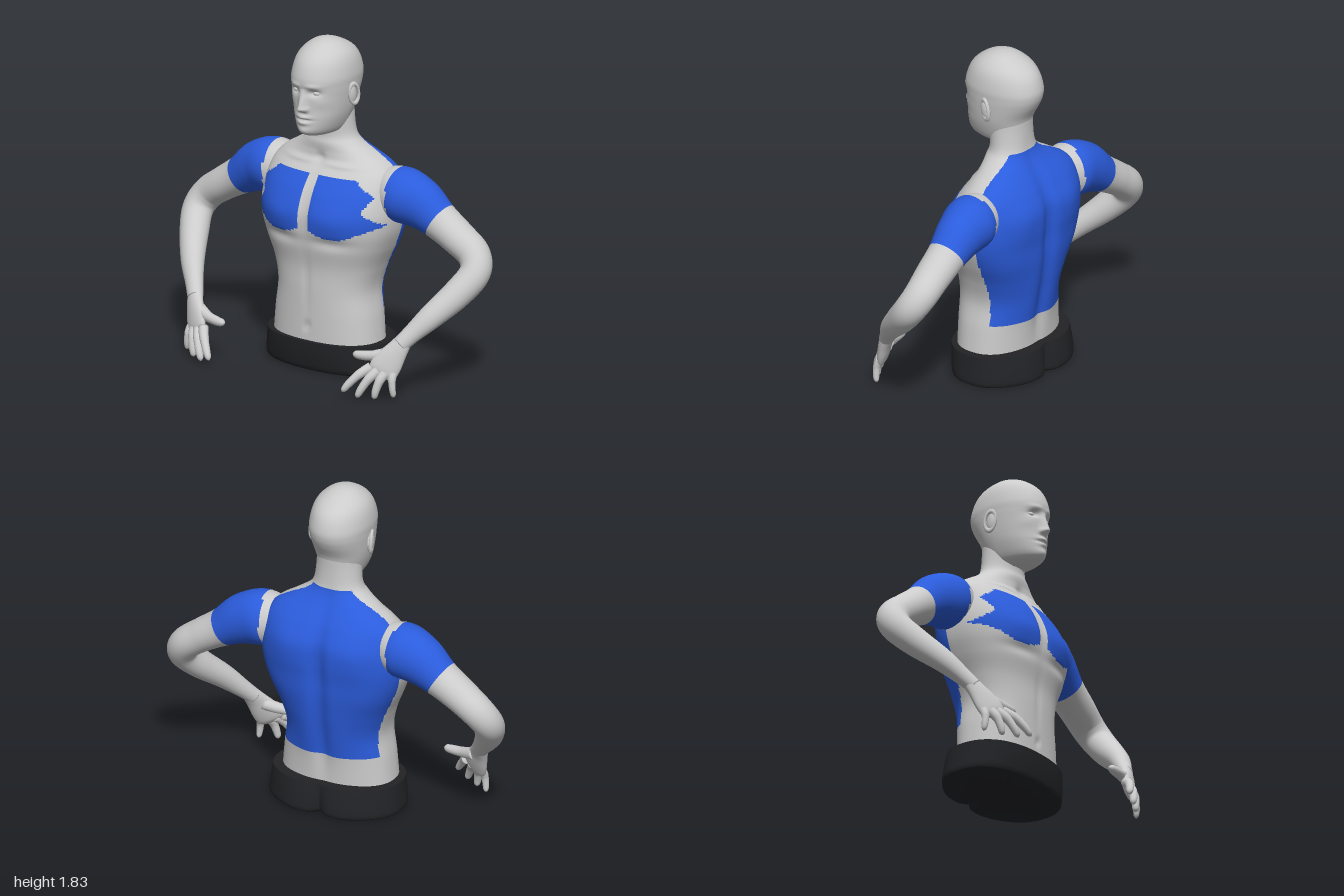
import * as THREE from 'three';
import { toCreasedNormals } from 'three/addons/utils/BufferGeometryUtils.js';

const skinMat = new THREE.MeshStandardMaterial({ color: 0xcccccc });
const blueMat = new THREE.MeshStandardMaterial({ color: 0x2b5cdc });
const blackMat = new THREE.MeshStandardMaterial({ color: 0x222326 });

// Smooth interpolation through rows of numbers, k steps per span.
function spline(rows, k) {
  const out = [], at = i => rows[Math.min(rows.length - 1, Math.max(0, i))];
  for (let i = 0; i < rows.length - 1; i++) {
    for (let s = 0; s < k; s++) {
      const t = s / k;
      out.push(rows[i].map((b, c) => {
        const a = at(i - 1)[c], d = at(i + 1)[c], e = at(i + 2)[c];
        return b + 0.5 * t * (d - a + t * (2 * a - 5 * b + 4 * d - e + t * (3 * (b - d) + e - a)));
      }));
    }
  }
  out.push(rows[rows.length - 1].slice());
  return out;
}

// Closed skin over rings; faces for which isBlue(centre, ring) holds become a second mesh.
function skin(name, rings, { isBlue = () => false, mat = skinMat, crease = 0 } = {}) {
  const n = rings[0].length, pos = [], grey = [], blue = [];
  rings.flat().forEach(p => pos.push(p.x, p.y, p.z));
  const c = new THREE.Vector3();
  for (let i = 0; i < rings.length - 1; i++) {
    for (let j = 0; j < n; j++) {
      const q = (j + 1) % n, a = i * n + j, b = i * n + q;
      c.copy(rings[i][j]).add(rings[i][q]).add(rings[i + 1][j]).add(rings[i + 1][q]).multiplyScalar(0.25);
      (isBlue(c, i) ? blue : grey).push(a, b, b + n, a, b + n, a + n);
    }
  }
  [0, rings.length - 1].forEach((r, end) => {
    const mid = new THREE.Vector3(), id = pos.length / 3;
    rings[r].forEach(p => mid.addScaledVector(p, 1 / n));
    pos.push(mid.x, mid.y, mid.z);
    for (let j = 0; j < n; j++) {
      const a = r * n + j, b = r * n + (j + 1) % n;
      grey.push(id, end ? a : b, end ? b : a);
    }
  });
  let g = new THREE.BufferGeometry();
  g.setAttribute('position', new THREE.Float32BufferAttribute(pos, 3));
  g.setIndex(grey.concat(blue));
  g.computeVertexNormals();
  const group = new THREE.Group();
  group.name = name;
  if (blue.length) {
    const patch = new THREE.BufferGeometry();
    patch.setAttribute('position', g.getAttribute('position'));
    patch.setAttribute('normal', g.getAttribute('normal'));
    patch.setIndex(blue);
    g.setIndex(grey);
    const m = new THREE.Mesh(patch, blueMat);
    m.name = name + 'BluePatch';
    group.add(m);
  }
  if (crease) g = toCreasedNormals(g, crease);
  const m = new THREE.Mesh(g, mat);
  m.name = name + 'Surface';
  group.add(m);
  return group;
}

// Bumps [x, y, spreadX, spreadY, height], mirrored in x.
const bumps = (list, x, y) => list.reduce((s, [bx, by, sx, sy, h]) =>
  s + h * Math.exp(-(((Math.abs(x) - bx) / sx) ** 2) - ((y - by) / sy) ** 2), 0);

// Horizontal body rings from rows [y, halfWidth, zFront, zBack, zMid, power].
function bodyRings(rows, k, n, front = () => 0, back = () => 0) {
  return spline(rows, k).map(([y, w, zf, zb, zm, e]) => Array.from({ length: n }, (_, j) => {
    const a = (j / n) * Math.PI * 2, c = Math.cos(a), s = -Math.sin(a);
    const x = w * Math.sign(c) * Math.abs(c) ** e, d = Math.abs(s) ** e;
    const z = s > 0 ? zm + (zf - zm) * d + front(x, y) * d : zm + (zb - zm) * d - back(x, y) * d;
    return new THREE.Vector3(x, y, z);
  }));
}

// Limb from rows [x, y, z, radiusAlongRef, radiusAcross]; side -1 mirrors it.
function limb(name, rows, side, { k = 8, n = 16, ref = [0, 0, 1], isBlue } = {}) {
  const pts = spline(rows, k), P = pts.map(p => new THREE.Vector3(p[0], p[1], p[2]));
  const rings = pts.map((p, i) => {
    const T = P[Math.min(i + 1, P.length - 1)].clone().sub(P[Math.max(i - 1, 0)]).normalize();
    const A = new THREE.Vector3(...ref);
    A.addScaledVector(T, -A.dot(T)).normalize();
    const B = T.clone().cross(A);
    const ring = Array.from({ length: n }, (_, j) => {
      const a = (j / n) * Math.PI * 2;
      const v = P[i].clone().addScaledVector(A, p[3] * Math.cos(a)).addScaledVector(B, p[4] * Math.sin(a));
      return v.set(v.x * side, Math.max(0, v.y), v.z);
    });
    return side < 0 ? ring.reverse() : ring;
  });
  return skin(name, rings, { isBlue });
}

function inside(poly, x, y) {
  let hit = false;
  poly.forEach(([ax, ay], i) => {
    const [bx, by] = poly[(i + 1) % poly.length];
    if ((ay > y) !== (by > y) && x < ax + (bx - ax) * (y - ay) / (by - ay)) hit = !hit;
  });
  return hit;
}

function makeTorso() {
  const rows = [
    [0.12, 0.33, 0.11, -0.30, -0.1, 0.85], [0.3, 0.312, 0.112, -0.31, -0.1, 0.85],
    [0.45, 0.292, 0.114, -0.335, -0.1, 0.85], [0.58, 0.322, 0.115, -0.36, -0.12, 0.83],
    [0.7, 0.372, 0.135, -0.38, -0.14, 0.8], [0.8, 0.405, 0.148, -0.388, -0.15, 0.8],
    [0.9, 0.415, 0.146, -0.396, -0.16, 0.8], [1.0, 0.405, 0.108, -0.39, -0.17, 0.8],
    [1.09, 0.385, 0.045, -0.352, -0.18, 0.82], [1.15, 0.335, 0.0, -0.315, -0.18, 0.85],
    [1.2, 0.255, -0.01, -0.28, -0.17, 0.9], [1.25, 0.175, -0.008, -0.25, -0.14, 0.95],
    [1.3, 0.138, -0.015, -0.235, -0.13, 1], [1.4, 0.125, -0.005, -0.23, -0.12, 1],
    [1.5, 0.12, 0, -0.235, -0.12, 1]];
  const pec = [[0.04, 0.8], [0.04, 1.09], [0.25, 1.09], [0.36, 1.01], [0.32, 0.93], [0.41, 0.85], [0.23, 0.775], [0.12, 0.775]];
  // Breastbone, pectorals, ribs, navel, collarbones / spine, shoulder blades, lower back.
  const front = [[0, 0.92, 0.03, 0.13, -0.016], [0.18, 0.86, 0.13, 0.08, 0.014], [0.17, 0.74, 0.12, 0.03, -0.012],
    [0, 0.5, 0.02, 0.16, -0.007], [0, 0.25, 0.014, 0.022, -0.014], [0.15, 1.145, 0.12, 0.015, 0.01], [0, 1.17, 0.03, 0.03, -0.012]];
  const back = [[0, 0.85, 0.045, 0.3, -0.035], [0, 0.4, 0.04, 0.2, -0.015], [0.2, 0.98, 0.09, 0.13, 0.012], [0.1, 0.45, 0.06, 0.2, 0.008]];
  const rings = bodyRings(rows, 10, 144, (x, y) => bumps(front, x, y), (x, y) => bumps(back, x, y));
  return skin('torso', rings, {
    isBlue: p => {
      const x = Math.abs(p.x);
      if (p.z > -0.12) return inside(pec, x, p.y);
      return p.y > 0.335 && p.y < 1.285 && p.z < -0.195 && (x < 0.375 || p.y < 0.95);
    }
  });
}

function makeHead() {
  const rows = [
    [1.312, 0.05, 0.06, -0.12, -0.05, 1], [1.33, 0.09, 0.118, -0.16, -0.06, 1], [1.36, 0.112, 0.142, -0.19, -0.06, 0.97],
    [1.42, 0.135, 0.145, -0.22, -0.06, 0.95], [1.48, 0.15, 0.144, -0.24, -0.07, 0.95], [1.55, 0.16, 0.146, -0.28, -0.07, 0.95],
    [1.6, 0.165, 0.15, -0.3, -0.07, 0.95], [1.65, 0.167, 0.152, -0.303, -0.07, 0.97], [1.72, 0.155, 0.128, -0.28, -0.07, 1],
    [1.77, 0.13, 0.088, -0.235, -0.07, 1], [1.81, 0.085, 0.03, -0.165, -0.07, 1], [1.828, 0.045, -0.02, -0.115, -0.07, 1],
    [1.834, 0.004, -0.062, -0.07, -0.066, 1]];
  // Nostrils, lips, mouth line, chin, brows, eye sockets, cheekbones.
  const face = [[0.022, 1.48, 0.012, 0.014, 0.014], [0, 1.436, 0.04, 0.011, 0.014], [0, 1.404, 0.036, 0.012, 0.014],
    [0, 1.42, 0.045, 0.005, -0.012], [0, 1.355, 0.04, 0.025, 0.01], [0.06, 1.612, 0.045, 0.014, 0.008],
    [0.062, 1.575, 0.032, 0.018, -0.02], [0.1, 1.52, 0.035, 0.03, 0.006]];
  const nose = (x, y) => 0.046 * Math.exp(-((x / 0.021) ** 2)) *
    (y > 1.485 ? Math.max(0, 1 - (y - 1.485) / 0.11) : Math.exp(-(((y - 1.485) / 0.014) ** 2)));
  const head = skin('head', bodyRings(rows, 10, 112, (x, y) => bumps(face, x, y) + nose(x, y)));
  const add = (name, geo, p, s, r = [0, 0, 0]) => {
    const m = new THREE.Mesh(geo, skinMat);
    m.name = name;
    m.position.set(...p);
    m.scale.set(...s);
    m.rotation.set(...r);
    head.add(m);
  };
  for (const s of [-1, 1]) {
    const label = s > 0 ? 'left' : 'right';
    add(label + 'Eye', new THREE.SphereGeometry(0.026, 20, 14), [s * 0.062, 1.573, 0.098], [1.1, 0.65, 1]);
    add(label + 'EarRim', new THREE.TorusGeometry(0.04, 0.01, 10, 28), [s * 0.174, 1.545, -0.08], [0.75, 1.4, 1], [0.15, Math.PI / 2 - s * 0.35, 0]);
    add(label + 'EarBowl', new THREE.SphereGeometry(0.04, 18, 14), [s * 0.166, 1.54, -0.076], [0.4, 1.35, 0.75], [0.15, 0, 0]);
  }
  return head;
}

function makeArm(side) {
  const arm = new THREE.Group(), k = 10;
  arm.name = side > 0 ? 'leftArm' : 'rightArm';
  arm.add(limb('armAndForearm', [
    [0.3, 1.01, -0.18, 0.11, 0.12], [0.42, 1.0, -0.18, 0.148, 0.152], [0.54, 0.965, -0.19, 0.128, 0.14],
    [0.66, 0.893, -0.197, 0.107, 0.106], [0.78, 0.82, -0.2, 0.1, 0.093], [0.885, 0.745, -0.2, 0.092, 0.088],
    [0.925, 0.66, -0.155, 0.085, 0.084], [0.88, 0.56, -0.06, 0.078, 0.08], [0.8, 0.45, 0.06, 0.062, 0.068],
    [0.73, 0.36, 0.14, 0.047, 0.052], [0.685, 0.3, 0.19, 0.04, 0.046]], side,
  { k, n: 40, isBlue: (p, i) => i < 3 * k && Math.abs(p.x) > (p.z < -0.24 ? 0.385 : 0.41) }));
  // Flat palm with its width across the knuckles
  arm.add(limb('palm', [[0.7, 0.325, 0.17, 0.045, 0.04], [0.675, 0.27, 0.205, 0.06, 0.036], [0.645, 0.21, 0.237, 0.078, 0.034],
    [0.622, 0.16, 0.262, 0.08, 0.028], [0.612, 0.135, 0.274, 0.06, 0.014]], side, { n: 28, ref: [0.9, -0.2, -0.4] }));
  // Fingers: knuckle, then tip
  const fingers = {
    indexFinger: [[0.56, 0.175, 0.285], [0.445, 0.04, 0.39]], middleFinger: [[0.6, 0.16, 0.278], [0.52, 0.014, 0.36]],
    ringFinger: [[0.637, 0.15, 0.264], [0.602, 0.01, 0.315]], littleFinger: [[0.675, 0.15, 0.242], [0.69, 0.02, 0.255]],
    thumb: [[0.645, 0.255, 0.215], [0.43, 0.222, 0.27]]
  };
  for (const [name, [a, b]] of Object.entries(fingers)) {
    const f = name === 'thumb' ? 1.2 : name === 'littleFinger' ? 0.85 : 1;
    const rows = [[0, 0.028], [0.3, 0.026], [0.5, 0.023], [0.75, 0.021], [0.93, 0.016], [1, 0.003]].map(([t, r]) => {
      const q = a.map((v, i) => v + (b[i] - v) * t), bow = 0.05 * t * (1 - t);
      return [q[0], q[1] + (f > 1 ? -bow : bow), q[2] + bow, r * f, r * f];
    });
    arm.add(limb(name, rows, side, { k: 4, n: 14, ref: [0.9, -0.2, -0.4] }));
  }
  return arm;
}

export function createModel() {
  const model = new THREE.Group();
  model.name = 'athleteBust';
  model.add(makeTorso(), makeHead(), makeArm(1), makeArm(-1));
  // Waistband and seat of the trousers
  const seat = (x, y) => 0.015 * Math.exp(-(((Math.abs(x) - 0.16) / 0.1) ** 2)) - 0.045 * (1 - y / 0.25) * Math.exp(-((x / 0.03) ** 2));
  model.add(skin('trousers', bodyRings([
    [0, 0.37, 0.095, -0.365, -0.12, 0.85], [0.02, 0.386, 0.115, -0.382, -0.12, 0.85],
    [0.1, 0.378, 0.13, -0.372, -0.12, 0.85], [0.17, 0.37, 0.135, -0.355, -0.12, 0.85]], 6, 112, () => 0, seat),
  { mat: blackMat, crease: 0.8 }));
  return model;
}
